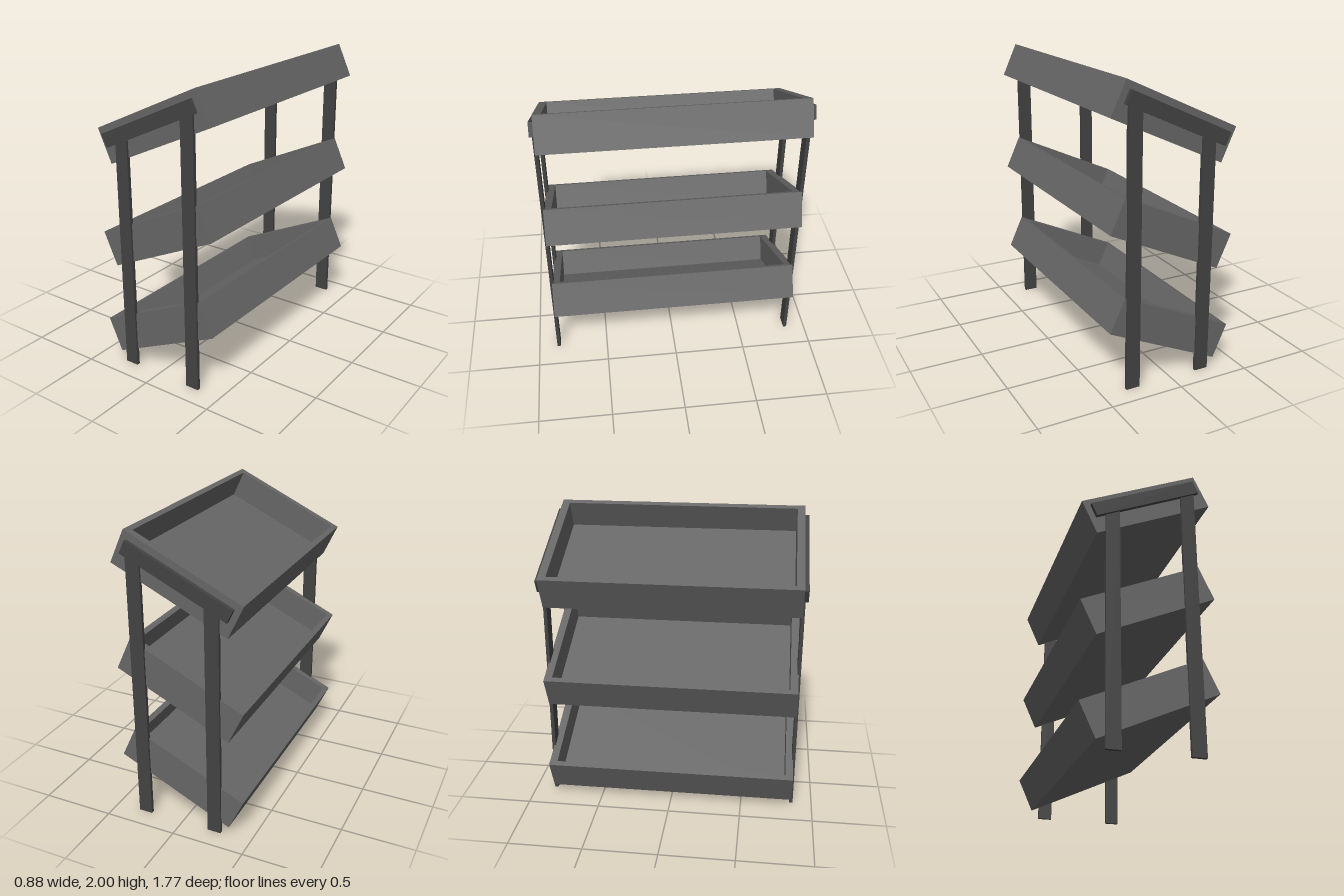
import * as THREE from 'three';

export function createModel() {
  const group = new THREE.Group();
  const trayGrey = new THREE.MeshStandardMaterial({ color: 0x666666 });
  trayGrey.name = 'trayGrey';
  const frameGrey = new THREE.MeshStandardMaterial({ color: 0x434343 });
  frameGrey.name = 'frameGrey';

  const tilt = Math.atan2(0.36, 0.78);
  const length = 0.859, height = 0.243, width = 1.71;
  const endWall = 0.037, sideWall = 0.053, floorThickness = 0.05;
  const innerLength = length - 2 * endWall, innerWidth = width - 2 * sideWall;

  const box = (name, w, h, d, x, y, z, material, parent) => {
    const mesh = new THREE.Mesh(new THREE.BoxGeometry(w, h, d), material);
    mesh.name = name;
    mesh.position.set(x, y, z);
    parent.add(mesh);
    return mesh;
  };

  const rectangle = (Type, w, h) => new Type([
    new THREE.Vector2(-w / 2, -h / 2), new THREE.Vector2(w / 2, -h / 2),
    new THREE.Vector2(w / 2, h / 2), new THREE.Vector2(-w / 2, h / 2),
  ]);

  // Tray walls: a rectangular ring, extruded upward
  const outline = rectangle(THREE.Shape, length, width);
  outline.holes.push(rectangle(THREE.Path, innerLength, innerWidth));
  const wallGeometry = new THREE.ExtrudeGeometry(outline, { depth: height, bevelEnabled: false });
  wallGeometry.rotateX(-Math.PI / 2).translate(0, -height / 2, 0);

  // Three tilted open trays
  [['lowerTray', 0.346], ['middleTray', 0.997], ['upperTray', 1.709]].forEach(([name, y]) => {
    const tray = new THREE.Group();
    tray.name = name;
    tray.position.y = y;
    tray.rotation.z = tilt;
    const walls = new THREE.Mesh(wallGeometry, trayGrey);
    walls.name = 'trayWalls';
    tray.add(walls);
    box('trayFloor', innerLength, floorThickness, innerWidth,
      0, (floorThickness - height) / 2, 0, trayGrey, tray);
    group.add(tray);
  });

  // Legs and sloping top rails on both sides
  for (const side of [1, -1]) {
    for (const [x, top] of [[-0.238, 1.6], [0.282, 1.85]]) {
      box('leg', 0.095, top, 0.024, x, top / 2, side * 0.857, frameGrey, group);
    }
    const rail = box('topRail', 0.776, 0.093, 0.027, -0.014, 1.735, side * 0.8715, frameGrey, group);
    rail.rotation.z = tilt;
  }

  return group;
}
